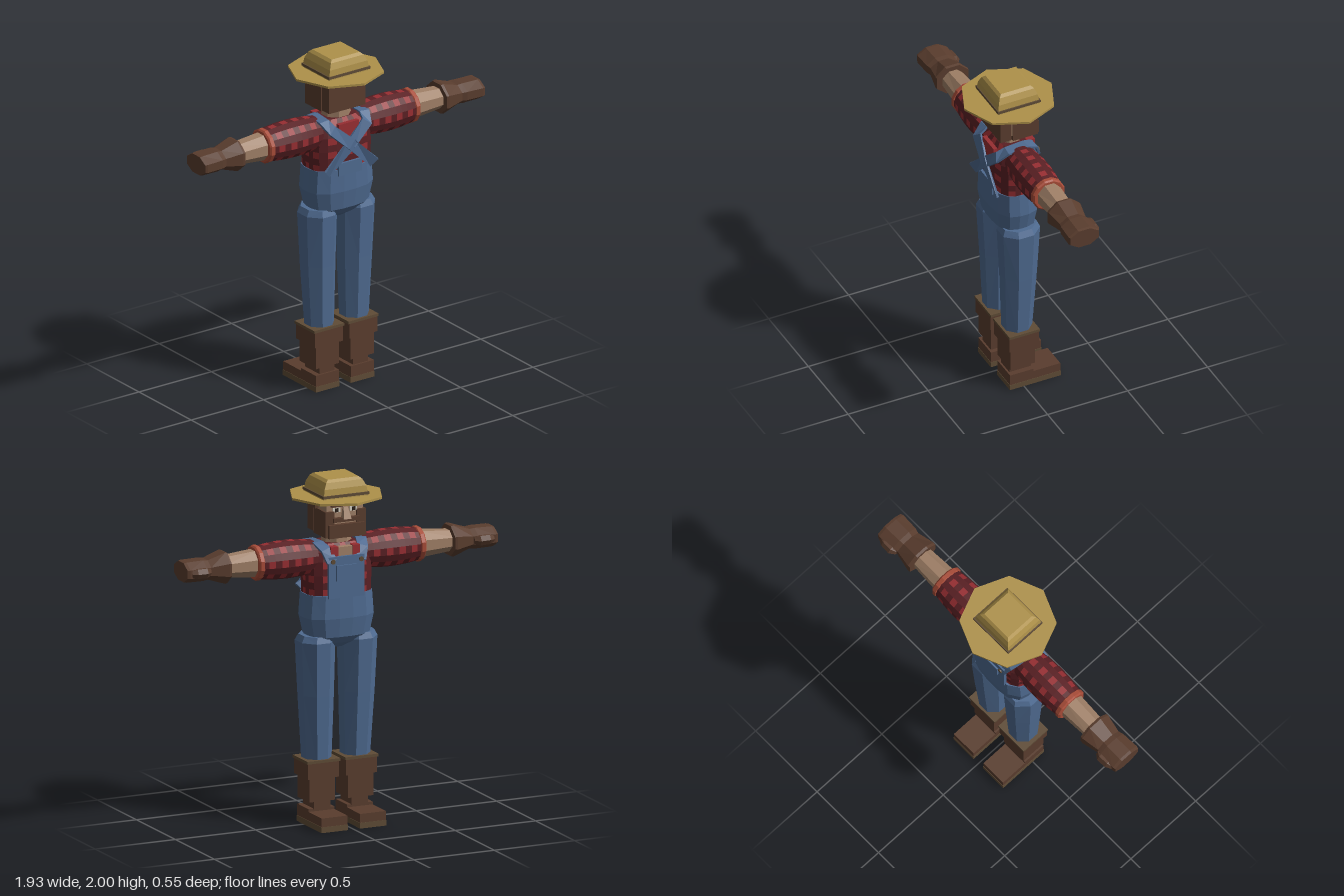
import * as THREE from 'three';

const mat = (name, color) => {
  const m = new THREE.MeshStandardMaterial({ color });
  m.name = name;
  return m;
};

// Skin a stack of equal-length point rings with flat facets and end caps.
// pick(i, j) returns the material index of the cell in row i, column j.
function skin(rings, pick = () => 0) {
  const buckets = [[], []];
  const n = rings[0].length;
  const tri = (k, ...pts) => pts.forEach((p) => buckets[k].push(p.x, p.y, p.z));
  for (let i = 0; i < rings.length - 1; i++) {
    for (let j = 0; j < n; j++) {
      const a = rings[i][j], b = rings[i][(j + 1) % n];
      const c = rings[i + 1][(j + 1) % n], d = rings[i + 1][j];
      tri(pick(i, j), a, d, c);
      tri(pick(i, j), a, c, b);
    }
  }
  [rings[0], rings[rings.length - 1]].forEach((ring, end) => {
    const mid = new THREE.Vector3();
    ring.forEach((p) => mid.addScaledVector(p, 1 / n));
    ring.forEach((p, j) => {
      const q = ring[(j + 1) % n];
      if (end) tri(0, mid, q, p);
      else tri(0, mid, p, q);
    });
  });
  const geo = new THREE.BufferGeometry();
  geo.setAttribute('position', new THREE.Float32BufferAttribute(buckets.flat(), 3));
  // Groups are only needed where two materials share the surface
  if (buckets[1].length) {
    geo.addGroup(0, buckets[0].length / 3, 0);
    geo.addGroup(buckets[0].length / 3, buckets[1].length / 3, 1);
  }
  return geo;
}

// Loft along y from sections [y, halfX, halfZ, centreX, centreZ].
// boxy > 0 gives a squarish oval; otherwise a polygon.
function loft(sections, n, { boxy = 0, phase = 0.5, pick } = {}) {
  return skin(sections.map(([y, rx, rz = rx, ox = 0, oz = 0]) =>
    Array.from({ length: n }, (_, j) => {
      const t = ((j + phase) / n) * Math.PI * 2;
      const c = Math.cos(t), s = Math.sin(t);
      const k = boxy
        ? 1 / Math.pow(Math.abs(c) ** boxy + Math.abs(s) ** boxy, 1 / boxy)
        : phase ? 1 / Math.cos(Math.PI / n) : 1;
      return new THREE.Vector3(ox + c * rx * k, y, oz + s * rz * k);
    })), pick);
}

const box = (x0, x1, y0, y1, z0, z1) =>
  new THREE.BoxGeometry(x1 - x0, y1 - y0, z1 - z0)
    .translate((x0 + x1) / 2, (y0 + y1) / 2, (z0 + z1) / 2);

// Flat strap following points around the body.
function strap(points, half, thick) {
  const P = points.map((p) => new THREE.Vector3(...p));
  return skin(P.map((p, i) => {
    const T = P[Math.min(i + 1, P.length - 1)].clone().sub(P[Math.max(i - 1, 0)]);
    const N = new THREE.Vector3(0, (p.y - 1.45) * 0.6, p.z).normalize();
    const W = T.cross(N).normalize();
    return [[1, 1], [-1, 1], [-1, 0], [1, 0]].map(([w, h]) =>
      p.clone().addScaledVector(W, w * half).addScaledVector(N, h * thick));
  }));
}

const flat = (geo) => {
  const g = geo.index ? geo.toNonIndexed() : geo;
  g.computeVertexNormals();
  return g;
};

// Flip to the other side in x and restore the corner order.
function mirrored(geo) {
  const g = (geo.index ? geo.toNonIndexed() : geo.clone()).scale(-1, 1, 1);
  const p = g.attributes.position;
  for (let i = 0; i < p.count; i += 3) {
    const v = [p.getX(i + 1), p.getY(i + 1), p.getZ(i + 1)];
    p.setXYZ(i + 1, p.getX(i + 2), p.getY(i + 2), p.getZ(i + 2));
    p.setXYZ(i + 2, ...v);
  }
  return g;
}

export function createModel() {
  const denim = mat('denim', 0x4f6b91);
  const red = mat('shirt red', 0x982e32);
  const maroon = mat('shirt maroon', 0x5a2024);
  const rust = mat('cuff rust', 0xa84c38);
  const flesh = mat('skin', 0xa08067);
  const brown = mat('leather and hair brown', 0x5a3d2e);
  const trim = mat('boot trim', 0x5f4c36);
  const straw = mat('straw', 0xae914a);
  const dark = mat('dark', 0x2c2119);
  const white = mat('eye white', 0xd8d2c4);
  const plaid = [maroon, red];
  const checks = (i, j) => (i % 2 && j % 2 ? 1 : 0);

  const model = new THREE.Group();
  const add = (name, geo, material) => {
    const mesh = new THREE.Mesh(flat(geo), material);
    mesh.name = name;
    model.add(mesh);
  };
  const pair = (name, geo, material) => {
    add(name + 'Right', mirrored(geo), material);
    add(name + 'Left', geo, material);
  };

  // Hat
  add('hatBrim', loft([[1.88, 0.273], [1.893, 0.273]], 8, { phase: 0 }), straw);
  add('hatCrown', loft([[1.89, 0.14, 0.13], [1.95, 0.13, 0.122], [1.985, 0.113, 0.108], [2, 0.097, 0.093]], 4), straw);
  add('hatBand', box(-0.143, 0.143, 1.9, 1.915, -0.134, 0.132), trim);

  // Head, hair, beard and face (facing -z)
  add('head', box(-0.115, 0.115, 1.7, 1.885, -0.112, 0.06), flesh);
  add('neck', loft([[1.56, 0.085, 0.075], [1.71, 0.075, 0.07]], 8), flesh);
  add('hair', box(-0.125, 0.125, 1.68, 1.884, 0.04, 0.108), brown);
  pair('sideburn', box(0.11, 0.137, 1.82, 1.87, -0.01, 0.04), brown);
  pair('beardSide', box(0.07, 0.125, 1.67, 1.82, -0.125, 0.03), brown);
  add('beardChin', box(-0.11, 0.11, 1.668, 1.745, -0.14, 0), brown);
  add('moustache', box(-0.08, 0.08, 1.758, 1.782, -0.138, -0.1), brown);
  add('nose', loft([[1.775, 0.024, 0.022, 0, -0.13], [1.84, 0.013, 0.01, 0, -0.115]], 4), flesh);
  pair('eye', box(0.03, 0.075, 1.812, 1.838, -0.117, -0.11), white);
  pair('pupil', box(0.043, 0.062, 1.814, 1.836, -0.12, -0.113), dark);
  pair('eyebrow', box(0.02, 0.09, 1.845, 1.865, -0.13, -0.11), brown);

  // Plaid shirt
  const profile = [[1.29, 0.195, 0.122], [1.45, 0.2, 0.126], [1.53, 0.195, 0.122], [1.58, 0.178, 0.108], [1.625, 0.12, 0.078]];
  const rows = [];
  [4, 2, 1, 1].forEach((steps, i) => {
    for (let k = 0; k < steps; k++) {
      rows.push(profile[i].map((v, m) => v + (profile[i + 1][m] - v) * (k / steps)));
    }
  });
  rows.push(profile[4]);
  add('shirtBody', loft(rows, 24, { boxy: 3.2, pick: checks }), plaid);
  add('shirtYoke', box(-0.07, 0.07, 1.53, 1.605, 0.1, 0.124), red);
  add('openCollar', box(-0.045, 0.045, 1.55, 1.61, -0.122, -0.06), flesh);
  pair('collarFlap', box(0.045, 0.09, 1.555, 1.615, -0.124, -0.06), red);

  // Overalls
  add('overallBody', loft([
    [1.015, 0.03, 0.04], [1.05, 0.12, 0.09], [1.09, 0.188, 0.122], [1.2, 0.212, 0.138], [1.335, 0.201, 0.136],
  ], 16, { boxy: 3 }), denim);
  add('backPanel', box(-0.08, 0.08, 1.3, 1.375, 0.1, 0.139), denim);
  add('bib', box(-0.11, 0.11, 1.32, 1.56, -0.137, -0.1), denim);
  add('bibPocket', box(-0.065, 0.065, 1.42, 1.51, -0.146, -0.137), denim);
  const strapGeo = strap([
    [-0.16, 1.335, 0.13], [0, 1.48, 0.138], [0.12, 1.58, 0.122], [0.14, 1.618, 0.07],
    [0.135, 1.622, -0.04], [0.115, 1.595, -0.1], [0.09, 1.53, -0.128],
  ], 0.032, 0.014);
  add('strapLeft', strapGeo, denim);
  add('strapRight', mirrored(strapGeo).translate(0, 0, 0.004), denim);
  pair('strapButton', new THREE.CylinderGeometry(0.014, 0.014, 0.008, 8).rotateX(Math.PI / 2).translate(0.088, 1.535, -0.146), trim);

  // Trouser legs
  pair('trouserLeg', loft([
    [0.36, 0.078, 0.08, 0.12, 0.005], [0.75, 0.094, 0.099, 0.127], [1.06, 0.104, 0.115, 0.131], [1.095, 0.088, 0.1, 0.128],
  ], 8), denim);

  // Boots
  pair('bootRim', box(0.015, 0.222, 0.366, 0.382, -0.09, 0.1), trim);
  pair('bootCuff', box(0.022, 0.215, 0.275, 0.366, -0.086, 0.097), brown);
  pair('bootShaft', box(0.04, 0.2, 0.14, 0.275, -0.07, 0.085), brown);
  pair('bootAnkle', box(0.065, 0.168, 0.095, 0.14, -0.062, 0.075), brown);
  pair('bootHeel', box(0.04, 0.2, 0.033, 0.1, -0.06, 0.086), brown);
  pair('bootToe', box(0.04, 0.2, 0.033, 0.084, -0.228, -0.06), brown);
  pair('bootSole', box(0.038, 0.202, 0, 0.033, -0.23, 0.088), trim);

  // Arms: lofted along y, then laid out along x at shoulder height
  const alongX = (geo) => geo.rotateZ(-Math.PI / 2).translate(0, 1.545, 0);
  const sleeve = Array.from({ length: 10 }, (_, i) => {
    const r = 0.086 + 0.021 * Math.sin(Math.PI * (0.1 + 0.8 * i / 9));
    return [0.15 + (0.35 * i) / 9, r];
  });
  pair('sleeve', alongX(loft(sleeve, 16, { pick: checks })), plaid);
  pair('sleeveCuff', alongX(loft([[0.483, 0.09], [0.49, 0.098], [0.512, 0.098], [0.52, 0.09]], 12)), rust);
  pair('forearm', alongX(loft([[0.5, 0.077, 0.072], [0.72, 0.058, 0.062]], 8)), flesh);
  pair('glove', alongX(loft([
    [0.695, 0.086, 0.098], [0.71, 0.09, 0.1], [0.815, 0.056, 0.08], [0.845, 0.06, 0.088], [0.95, 0.058, 0.093], [0.966, 0.055, 0.088],
  ], 8)), brown);
  pair('gloveThumb', alongX(loft([
    [0.82, 0.018, 0.02, 0, -0.075], [0.85, 0.028, 0.028, 0, -0.087], [0.91, 0.027, 0.027, 0, -0.085], [0.94, 0.018, 0.018, 0, -0.08],
  ], 6)), brown);

  return model;
}
